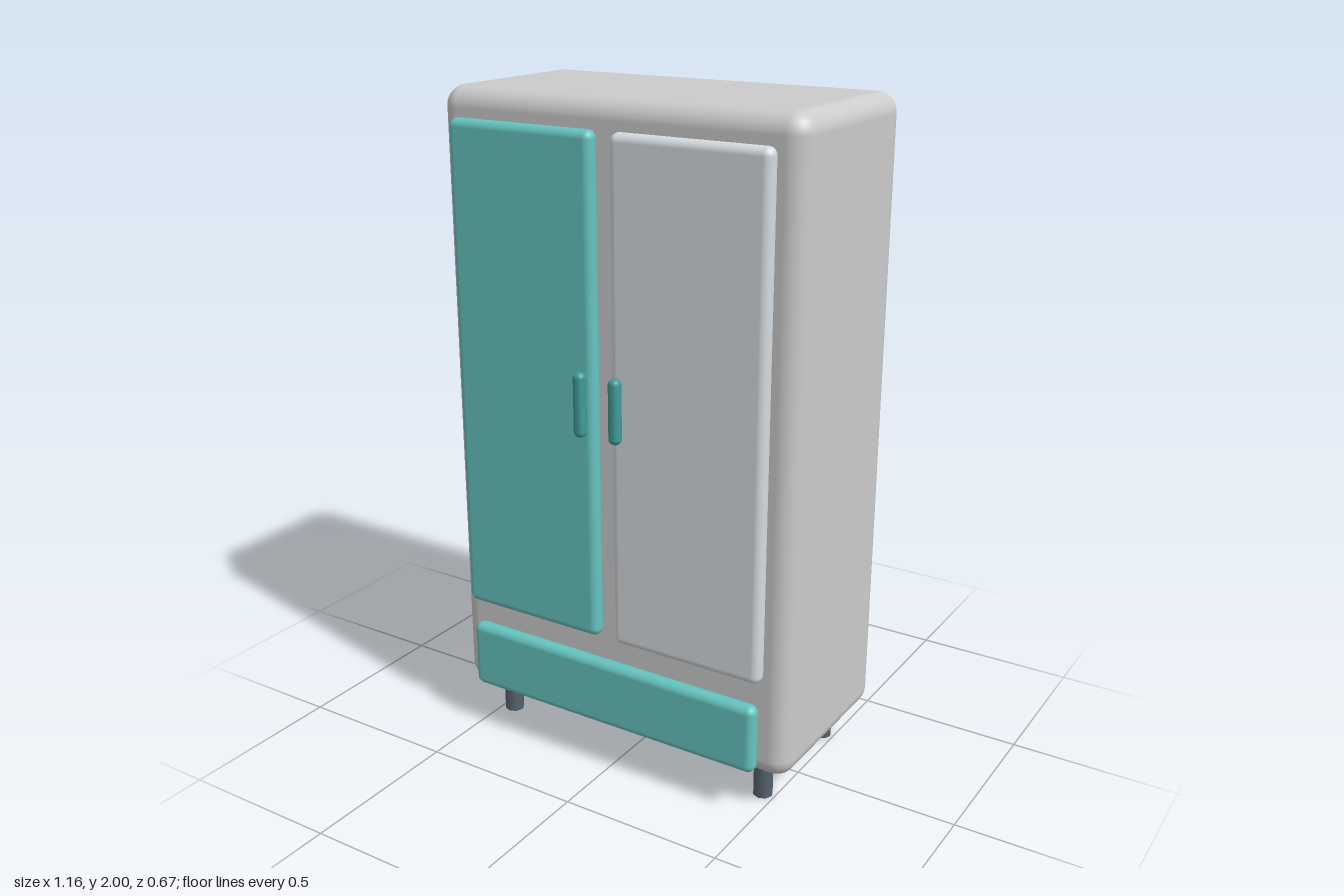
import * as THREE from 'three';
import { RoundedBoxGeometry } from 'three/addons/geometries/RoundedBoxGeometry.js';

const material = (color) => new THREE.MeshStandardMaterial({ color });

export function createModel() {
  const group = new THREE.Group();
  const grey = material(0xcccccc);
  const pale = material(0xd5dbe0);
  const teal = material(0x66c4c0);
  const darkTeal = material(0x3f9c98);
  const slate = material(0x55626e);

  // Rounded box given by its extents on each axis
  function roundedBox(name, [x0, x1], [y0, y1], [z0, z1], radius, mat, segments = 3) {
    const geometry = new RoundedBoxGeometry(x1 - x0, y1 - y0, z1 - z0, segments, radius);
    const mesh = new THREE.Mesh(geometry, mat);
    mesh.position.set((x0 + x1) / 2, (y0 + y1) / 2, (z0 + z1) / 2);
    mesh.name = name;
    group.add(mesh);
  }

  // Cabinet body
  roundedBox('body', [-0.58, 0.58], [0.115, 2], [-0.335, 0.245], 0.06, grey, 4);

  // Doors and drawer front
  const frontDepth = [0.245, 0.295];
  roundedBox('rightDoor', [-0.514, -0.03], [0.435, 1.918], frontDepth, 0.024, teal);
  roundedBox('leftDoor', [0.026, 0.51], [0.435, 1.918], frontDepth, 0.024, pale);
  roundedBox('drawer', [-0.503, 0.497], [0.145, 0.358], frontDepth, 0.024, teal);

  // Handles beside the centre gap
  for (const [name, x] of [['rightHandle', -0.06], ['leftHandle', 0.057]]) {
    roundedBox(name, [x - 0.018, x + 0.018], [1.07, 1.26], [0.297, 0.333], 0.016, darkTeal);
  }

  // Four short legs
  const legGeometry = new THREE.CylinderGeometry(0.03, 0.03, 0.13, 8);
  for (const side of [-1, 1]) {
    for (const end of [-1, 1]) {
      const leg = new THREE.Mesh(legGeometry, slate);
      leg.name = (end > 0 ? 'front' : 'back') + (side > 0 ? 'Left' : 'Right') + 'Leg';
      leg.position.set(side * 0.462, 0.065, -0.042 + end * 0.195);
      group.add(leg);
    }
  }

  return group;
}
